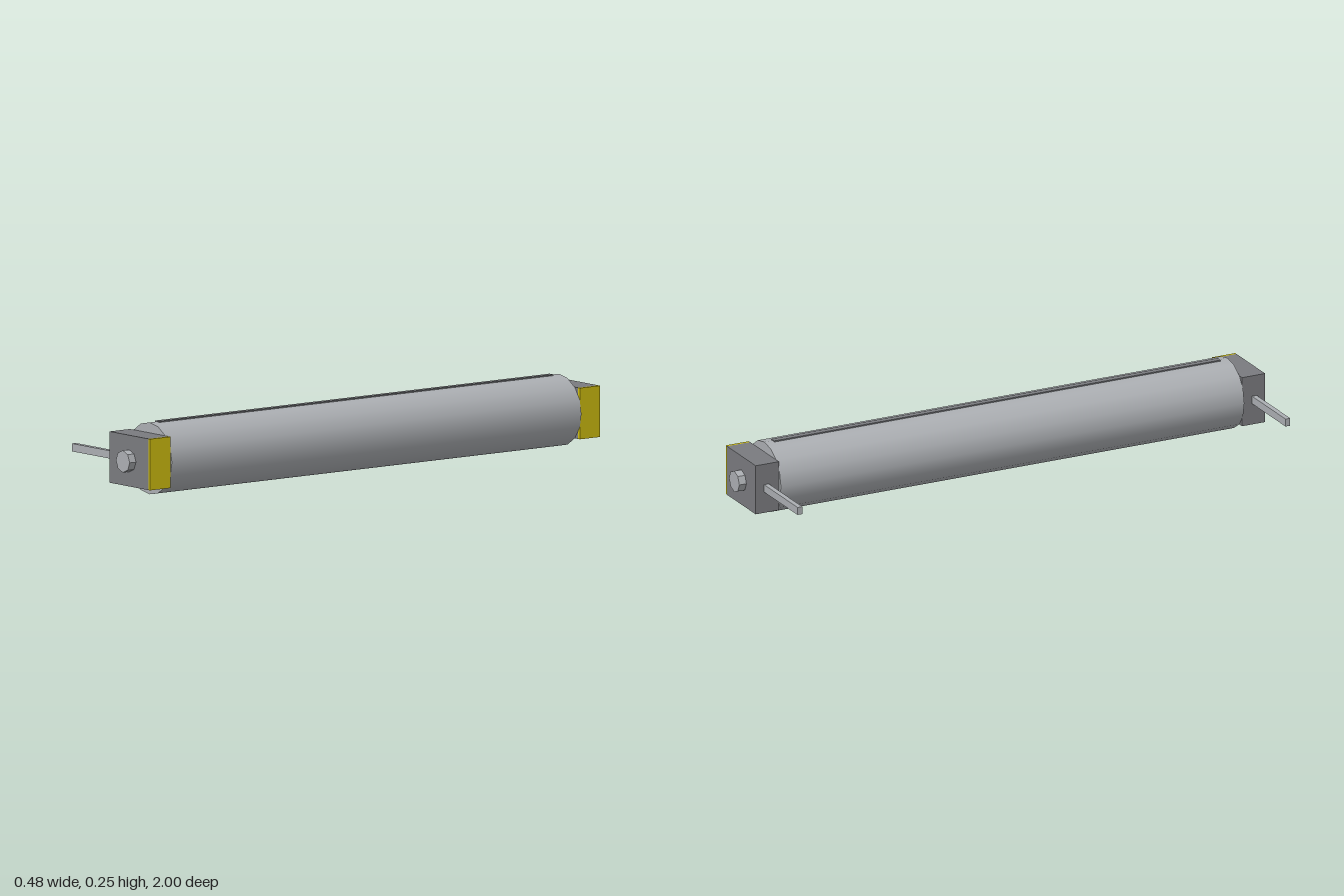
import * as THREE from 'three';

const lightGrey = new THREE.MeshStandardMaterial({ name: 'lightGrey', color: 0xacafb3 });
const darkGrey = new THREE.MeshStandardMaterial({ name: 'darkGrey', color: 0x7a7b7f });
const yellow = new THREE.MeshStandardMaterial({ name: 'yellow', color: 0xd0be10 });

const AXIS_X = 0.115, AXIS_Y = 0.125;

function add(parent, name, geometry, material, x, y, z) {
  const mesh = new THREE.Mesh(geometry, material);
  mesh.name = name;
  mesh.position.set(x, y, z);
  parent.add(mesh);
}

// Box given by its minimum and maximum x and y, centred on z
function addBox(parent, name, material, x0, x1, y0, y1, z, depth) {
  add(parent, name, new THREE.BoxGeometry(x1 - x0, y1 - y0, depth), material,
    (x0 + x1) / 2, (y0 + y1) / 2, z);
}

// Cylinder lying along z with a vertex at the top
function rod(radius, length, sides) {
  return new THREE.CylinderGeometry(radius, radius, length, sides).rotateX(Math.PI / 2);
}

export function createModel() {
  const model = new THREE.Group();
  model.name = 'roller';

  // Main tube with a thin raised strip along its top
  add(model, 'tube', rod(0.1235, 1.77, 16), lightGrey, AXIS_X, AXIS_Y, 0);
  addBox(model, 'topStrip', darkGrey, 0.104, 0.126, 0.24, 0.2505, 0, 1.705);

  // Matching end fittings
  for (const side of [1, -1]) {
    const end = new THREE.Group();
    end.name = side > 0 ? 'frontEnd' : 'backEnd';
    addBox(end, 'endBlock', darkGrey, 0.008, 0.2205, 0.037, 0.213, side * 0.929, 0.088);
    addBox(end, 'coverPlate', yellow, 0.2205, 0.23, 0.037, 0.213, side * 0.929, 0.088);
    addBox(end, 'mountingArm', lightGrey, -0.24, 0.008, 0.112, 0.139, side * 0.932, 0.018);
    add(end, 'axleEnd', rod(0.038, 0.04, 8).toNonIndexed(), lightGrey, AXIS_X, AXIS_Y, side * 0.98);
    end.children[3].geometry.computeVertexNormals();
    model.add(end);
  }
  return model;
}
